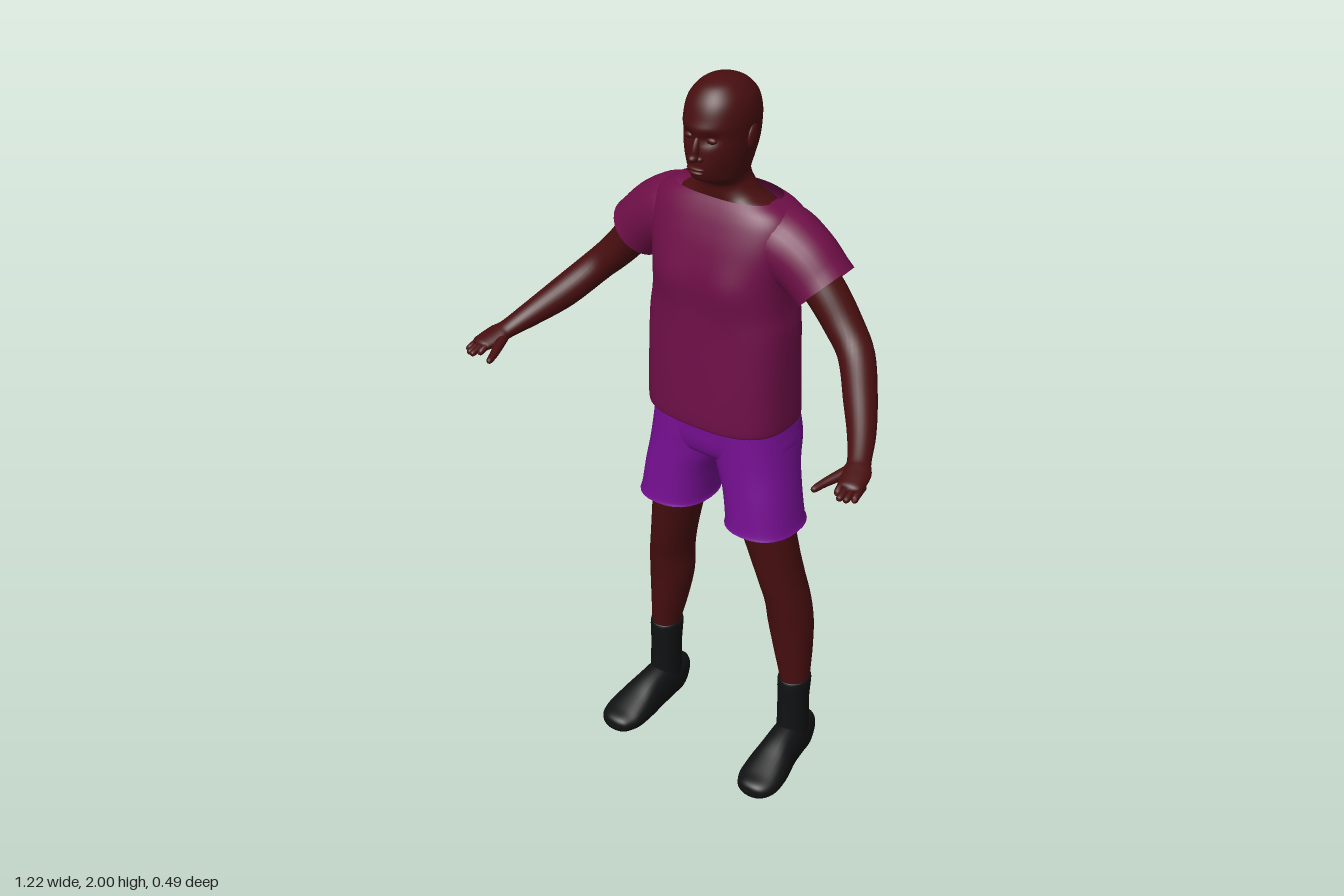
import * as THREE from 'three';

const material = (name, color) => {
  const m = new THREE.MeshStandardMaterial({ color, side: THREE.DoubleSide });
  m.name = name;
  return m;
};

const bump = (d, w) => Math.exp(-(d * d) / (w * w));

// Smooth interpolation through rows of numbers.
function smoothRows(rows, steps) {
  const out = [];
  const at = (i) => rows[Math.min(Math.max(i, 0), rows.length - 1)];
  for (let i = 0; i < rows.length - 1; i++) {
    for (let s = 0; s < steps; s++) {
      const t = s / steps;
      out.push(rows[i].map((p1, k) => {
        const p0 = at(i - 1)[k], p2 = at(i + 1)[k], p3 = at(i + 2)[k];
        return 0.5 * (2 * p1 + (p2 - p0) * t + (2 * p0 - 5 * p1 + 4 * p2 - p3) * t * t
          + (3 * p1 - p0 - 3 * p2 + p3) * t * t * t);
      }));
    }
  }
  out.push(rows[rows.length - 1]);
  return out;
}

// Skin over cross-sections [x, y, z, radiusU, radiusV]. Level rings lie in the
// xz plane; otherwise each ring is square to the path. side = -1 mirrors it.
function loft(rows, { level = false, side = 1, power = 2, seg = 28, steps = 5, sculpt } = {}) {
  const rings = smoothRows(rows, steps);
  const positions = [], index = [];
  const up = new THREE.Vector3(0, 1, 0);
  const e = 2 / power;
  const soft = (v) => Math.sign(v) * Math.abs(v) ** e;
  rings.forEach((r, i) => {
    const c = new THREE.Vector3(r[0], r[1], r[2]);
    const p = rings[Math.max(i - 1, 0)], n = rings[Math.min(i + 1, rings.length - 1)];
    const T = level ? up.clone() : new THREE.Vector3(n[0] - p[0], n[1] - p[1], n[2] - p[2]).normalize();
    const U = level ? new THREE.Vector3(1, 0, 0) : T.clone().cross(up).normalize();
    const V = T.clone().cross(U);
    for (let j = 0; j < seg; j++) {
      const a = (j / seg) * Math.PI * 2;
      const q = c.clone()
        .addScaledVector(U, Math.max(r[3], 0.001) * soft(Math.cos(a)))
        .addScaledVector(V, Math.max(r[4], 0.001) * soft(Math.sin(a)));
      if (sculpt) sculpt(q, r);
      positions.push(q.x * side, q.y, q.z);
      if (i === rings.length - 1) continue;
      const A = i * seg + j, B = i * seg + (j + 1) % seg, C = B + seg, D = A + seg;
      if (side > 0) index.push(A, B, C, A, C, D);
      else index.push(A, C, B, A, D, C);
    }
  });
  const g = new THREE.BufferGeometry();
  g.setAttribute('position', new THREE.Float32BufferAttribute(positions, 3));
  g.setIndex(index);
  g.computeVertexNormals();
  return g;
}

// Level rows given as [y, centreX, halfWidth, frontZ, backZ], listed upwards.
const levels = (rows) => rows.map(([y, x, w, f, b]) => [x, y, (f + b) / 2, w, (f - b) / 2]);

export function createModel() {
  const model = new THREE.Group();
  const skin = material('dark skin', 0x470e0f);
  const shirtRed = material('plum shirt', 0x6e0f47);
  const purple = material('purple shorts', 0x760f92);
  const black = material('black footwear', 0x101112);

  const add = (name, geometry, mat) => {
    const mesh = new THREE.Mesh(geometry, mat);
    mesh.name = name;
    model.add(mesh);
    return mesh;
  };
  const blob = (name, x, y, z, rx, ry, rz, tilt = 0) => {
    const mesh = add(name, new THREE.SphereGeometry(1, 18, 12), skin);
    mesh.position.set(x, y, z);
    mesh.scale.set(rx, ry, rz);
    mesh.rotation.x = tilt;
  };

  // Head, neck and the shoulders inside the collar
  add('headAndNeck', loft(levels([
    [1.62, 0, 0.17, -0.03, -0.2], [1.675, 0, 0.14, -0.045, -0.19],
    [1.70, 0, 0.09, -0.045, -0.178], [1.73, 0, 0.066, -0.04, -0.168],
    [1.748, 0, 0.062, -0.015, -0.165], [1.76, 0, 0.064, 0.012, -0.167],
    [1.79, 0, 0.072, 0.022, -0.177], [1.83, 0, 0.08, 0.022, -0.19],
    [1.87, 0, 0.083, 0.02, -0.197], [1.91, 0, 0.085, 0.018, -0.195],
    [1.95, 0, 0.077, 0.005, -0.183], [1.98, 0, 0.055, -0.02, -0.155],
    [1.994, 0, 0.031, -0.05, -0.122], [2.0, 0, 0.001, -0.085, -0.087],
  ]), {
    level: true, power: 2.15, seg: 48,
    sculpt: (q) => {
      if (q.z < -0.05) return;
      // eye sockets, brow ridge and a narrower jaw
      q.z -= 0.011 * bump(Math.abs(q.x) - 0.032, 0.018) * bump(q.y - 1.868, 0.014);
      q.z += 0.005 * bump(q.y - 1.892, 0.012) * bump(q.x, 0.06);
      q.x *= 1 - 0.16 * bump(q.y - 1.765, 0.045) * Math.min(1, (q.z + 0.05) / 0.06);
    },
  }), skin);
  blob('noseBridge', 0, 1.845, 0.02, 0.010, 0.032, 0.014, -0.3);
  blob('noseTip', 0, 1.823, 0.03, 0.013, 0.011, 0.017);
  blob('upperLip', 0, 1.794, 0.021, 0.026, 0.006, 0.012);
  blob('lowerLip', 0, 1.783, 0.020, 0.022, 0.007, 0.012);
  for (const s of [1, -1]) {
    blob('nostril', s * 0.013, 1.82, 0.02, 0.009, 0.008, 0.011);
    blob('eyelid', s * 0.032, 1.866, 0.002, 0.016, 0.009, 0.01);
    blob('ear', s * 0.083, 1.858, -0.095, 0.009, 0.032, 0.02, -0.2);
  }

  // Shirt body, open at collar and hem
  add('shirtBody', loft(levels([
    [1.08, 0, 0.2, 0.035, -0.243], [1.1, 0, 0.203, 0.04, -0.246],
    [1.22, 0, 0.202, 0.037, -0.24], [1.35, 0, 0.2, 0.03, -0.236],
    [1.42, 0, 0.192, 0.026, -0.24], [1.5, 0, 0.193, 0.026, -0.244],
    [1.58, 0, 0.205, 0.012, -0.243], [1.64, 0, 0.205, -0.008, -0.235],
    [1.675, 0, 0.185, -0.025, -0.215], [1.697, 0, 0.145, -0.04, -0.195],
  ]), {
    level: true, power: 2.7, seg: 56,
    sculpt: (q, r) => {
      // chest, shoulder blades and spine
      if (q.z > r[2]) q.z += 0.011 * bump(Math.abs(q.x) - 0.09, 0.06) * bump(q.y - 1.47, 0.07);
      else q.z += (0.012 * bump(q.x, 0.03) - 0.008 * bump(Math.abs(q.x) - 0.08, 0.05)) * bump(q.y - 1.52, 0.12);
    },
  }), shirtRed);

  // Shorts seat
  add('shortsSeat', loft(levels([
    [0.955, 0, 0.1, -0.04, -0.18], [0.975, 0, 0.17, -0.01, -0.215],
    [1.01, 0, 0.203, 0.002, -0.232], [1.06, 0, 0.197, 0.006, -0.238],
    [1.1, 0, 0.19, 0.01, -0.23],
  ]), { level: true, power: 2.6, seg: 40 }), purple);

  for (const side of [1, -1]) {
    const s = side > 0 ? 'left' : 'right';

    // Sleeve and arm
    add(s + 'Sleeve', loft([
      [0.10, 1.595, -0.125, 0.095, 0.09], [0.16, 1.588, -0.125, 0.098, 0.097],
      [0.22, 1.56, -0.125, 0.09, 0.09], [0.265, 1.522, -0.125, 0.086, 0.084],
      [0.285, 1.503, -0.125, 0.087, 0.083],
    ], { side }), shirtRed);
    add(s + 'Arm', loft([
      [0.18, 1.6, -0.12, 0.055, 0.055], [0.28, 1.505, -0.12, 0.055, 0.052],
      [0.35, 1.425, -0.112, 0.05, 0.047], [0.405, 1.368, -0.088, 0.046, 0.043],
      [0.465, 1.3, -0.018, 0.042, 0.042], [0.515, 1.252, 0.05, 0.035, 0.033],
      [0.55, 1.22, 0.112, 0.029, 0.023], [0.562, 1.21, 0.14, 0.036, 0.021],
      [0.572, 1.202, 0.175, 0.034, 0.018], [0.577, 1.199, 0.197, 0.027, 0.013],
      [0.578, 1.198, 0.205, 0.002, 0.002],
    ], { side }), skin);

    // Fingers and thumb
    for (let k = 0; k < 4; k++) {
      const x = 0.552 + k * 0.015, tip = 0.24 - 0.013 * Math.abs(k - 1.3);
      add(s + 'Finger' + (k + 1), loft([
        [x, 1.205 - k * 0.003, 0.165, 0.009, 0.011], [x + 0.004, 1.198 - k * 0.003, 0.2, 0.009, 0.01],
        [x + 0.006, 1.19 - k * 0.002, tip - 0.006, 0.008, 0.008], [x + 0.006, 1.189 - k * 0.002, tip, 0.001, 0.001],
      ], { side, seg: 12 }), skin);
    }
    add(s + 'Thumb', loft([
      [0.55, 1.212, 0.125, 0.017, 0.015], [0.531, 1.204, 0.17, 0.014, 0.013],
      [0.515, 1.197, 0.21, 0.011, 0.01], [0.507, 1.192, 0.238, 0.008, 0.008],
      [0.506, 1.191, 0.245, 0.001, 0.001],
    ], { side, seg: 14 }), skin);

    // Shorts leg, open at the hem
    add(s + 'ShortsLeg', loft(levels([
      [0.78, 0.14, 0.102, 0.014, -0.207], [0.8, 0.138, 0.098, 0.01, -0.202],
      [0.88, 0.126, 0.098, 0.006, -0.203], [0.95, 0.108, 0.105, 0.003, -0.215],
      [1.02, 0.1, 0.104, 0.003, -0.238], [1.09, 0.095, 0.098, 0.003, -0.235],
    ]), { level: true, side, power: 2.3 }), purple);

    // Leg with knee and calf
    add(s + 'Leg', loft(levels([
      [0.22, 0.223, 0.038, -0.09, -0.175], [0.28, 0.222, 0.041, -0.088, -0.18],
      [0.36, 0.213, 0.051, -0.08, -0.195], [0.45, 0.203, 0.061, -0.072, -0.202],
      [0.53, 0.196, 0.06, -0.06, -0.198], [0.6, 0.182, 0.06, -0.046, -0.19],
      [0.69, 0.162, 0.066, -0.033, -0.18], [0.78, 0.143, 0.072, -0.02, -0.178],
      [0.92, 0.12, 0.08, -0.02, -0.19],
    ]), { level: true, side }), skin);

    // Sock
    add(s + 'Sock', loft(levels([
      [0.07, 0.223, 0.043, -0.075, -0.185], [0.14, 0.223, 0.042, -0.08, -0.18],
      [0.2, 0.222, 0.042, -0.082, -0.179], [0.268, 0.222, 0.045, -0.083, -0.184],
      [0.276, 0.222, 0.039, -0.09, -0.177],
    ]), { level: true, side }), black);

    // Shoe with a flat sole, heel to toe
    add(s + 'Shoe', loft([
      [0.222, 0.055, -0.2, 0.002, 0.002], [0.222, 0.06, -0.194, 0.03, 0.045],
      [0.222, 0.068, -0.17, 0.042, 0.06], [0.224, 0.07, -0.12, 0.046, 0.066],
      [0.228, 0.06, -0.06, 0.05, 0.062], [0.234, 0.046, 0, 0.06, 0.048],
      [0.238, 0.036, 0.055, 0.061, 0.034], [0.238, 0.033, 0.09, 0.046, 0.026],
      [0.238, 0.032, 0.104, 0.025, 0.016], [0.238, 0.032, 0.108, 0.002, 0.002],
    ], { side, power: 2.3, sculpt: (q) => { q.y = Math.max(q.y - 0.006, 0); } }), black);
  }
  return model;
}
